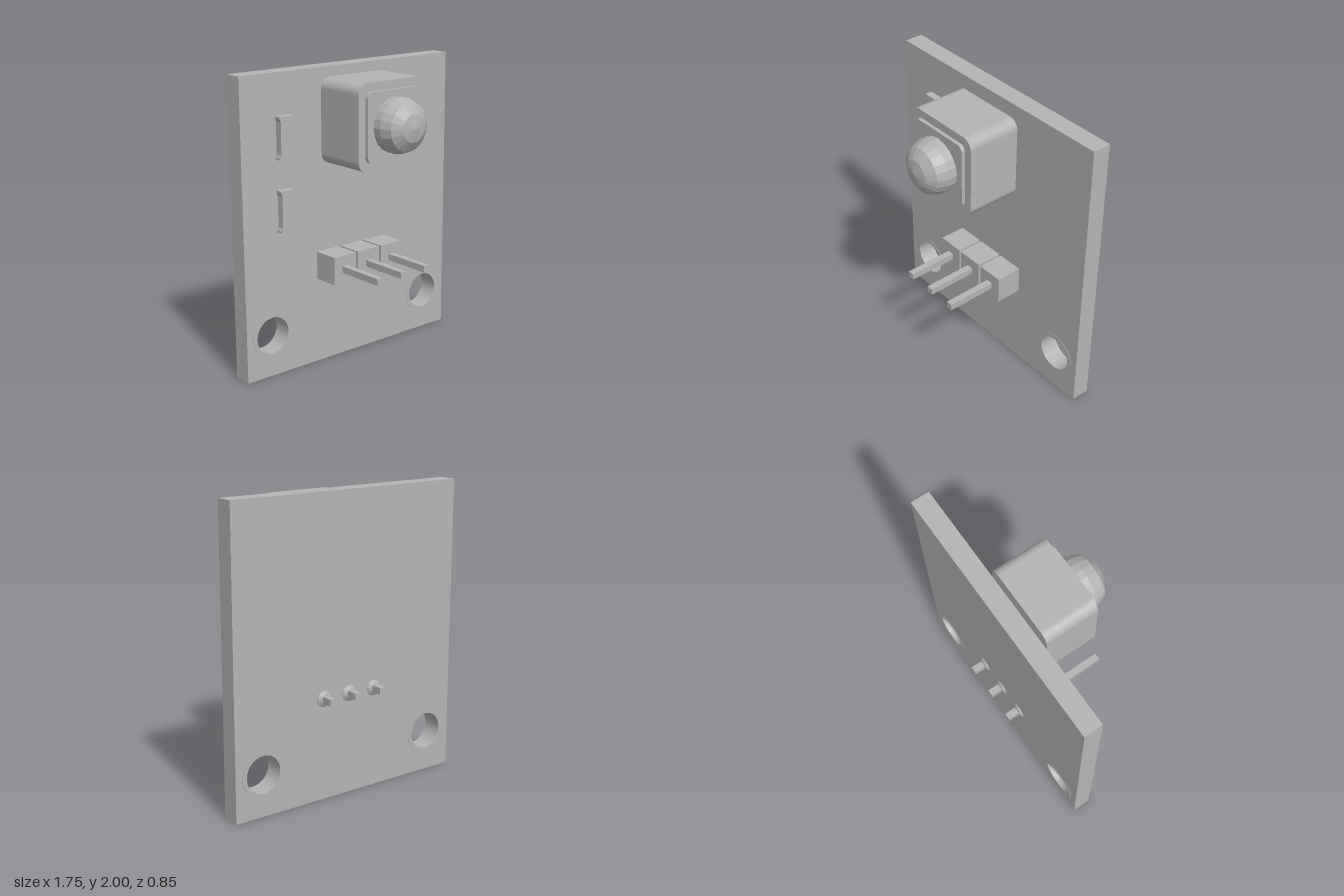
import * as THREE from 'three';

const grey = new THREE.MeshStandardMaterial({ color: 0xb4b4b4 });
grey.name = 'plain grey';
const facetGrey = grey;

const FRONT = -0.203, BACK = -0.33; // board faces
const HOLES = [-0.672, 0.672], HOLE_Y = 0.282;

function add(parent, name, geometry, x = 0, y = 0, z = 0) {
  const mesh = new THREE.Mesh(geometry, grey);
  mesh.name = name;
  mesh.position.set(x, y, z);
  parent.add(mesh);
  return mesh;
}

function box(parent, name, w, h, z0, z1, x, y) {
  return add(parent, name, new THREE.BoxGeometry(w, h, z1 - z0), x, y, (z0 + z1) / 2);
}

const extrude = (shape, depth, curveSegments = 8) =>
  new THREE.ExtrudeGeometry(shape, { depth, bevelEnabled: false, curveSegments });

function circleHole(x, y, r) {
  const path = new THREE.Path();
  path.absarc(x, y, r, 0, Math.PI * 2, true);
  return path;
}

function roundedSquare(half, r) {
  const s = new THREE.Shape(), c = half - r;
  s.absarc(c, c, r, 0, Math.PI / 2);
  s.absarc(-c, c, r, Math.PI / 2, Math.PI);
  s.absarc(-c, -c, r, Math.PI, Math.PI * 1.5);
  s.absarc(c, -c, r, Math.PI * 1.5, Math.PI * 2);
  return s;
}

// Faceted solid of revolution with its axis along z; profile runs [radius, z]
function turned(profile, segments) {
  const points = profile.map(([r, z]) => new THREE.Vector2(r, z));
  const g = new THREE.LatheGeometry(points, segments).rotateX(Math.PI / 2).toNonIndexed();
  g.computeVertexNormals();
  return g;
}

export function createModel() {
  const model = new THREE.Group();
  model.name = 'sensorBoard';

  // Circuit board with two mounting holes
  const outline = new THREE.Shape([
    new THREE.Vector2(-0.877, 0), new THREE.Vector2(0.877, 0),
    new THREE.Vector2(0.877, 2), new THREE.Vector2(-0.877, 2),
  ]);
  for (const x of HOLES) outline.holes.push(circleHole(x, HOLE_Y, 0.125));
  add(model, 'board', extrude(outline, FRONT - BACK, 24), 0, 0, BACK);

  // Thin pads around the mounting holes, on both faces
  for (const x of HOLES) {
    const ring = new THREE.Shape();
    ring.absarc(0, 0, 0.155, 0, Math.PI * 2);
    ring.holes.push(circleHole(0, 0, 0.125));
    const pad = extrude(ring, 0.003, 24);
    add(model, 'frontHolePad', pad, x, HOLE_Y, FRONT);
    add(model, 'backHolePad', pad, x, HOLE_Y, BACK - 0.003);
  }

  // Sensor housing, raised face and domed lens
  const sensor = new THREE.Group();
  sensor.name = 'sensor';
  sensor.position.y = 1.66;
  model.add(sensor);
  add(sensor, 'housing', extrude(roundedSquare(0.28, 0.07), 0.367), 0, 0, -0.16);
  add(sensor, 'raisedFace', extrude(roundedSquare(0.225, 0.04), 0.025), 0, 0, 0.207);
  add(sensor, 'lens', turned(
    [[0.18, 0.22], [0.18, 0.29], [0.155, 0.363], [0.09, 0.407], [0, 0.424]], 20));

  // Short leads lifting the housing off the board
  for (const x of [-0.2, 0, 0.2]) {
    const lead = new THREE.CylinderGeometry(0.022, 0.022, 0.05, 12).rotateX(Math.PI / 2);
    add(sensor, 'sensorLead', lead, x, -0.22, -0.181);
  }

  // Chip components with flared ends
  const chip = new THREE.Shape([
    [-0.046, -0.105], [-0.055, -0.125], [-0.055, -0.138],
    [0.055, -0.138], [0.055, -0.125], [0.046, -0.105],
    [0.046, 0.105], [0.055, 0.125], [0.055, 0.138],
    [-0.055, 0.138], [-0.055, 0.125], [-0.046, 0.105],
  ].map(([x, y]) => new THREE.Vector2(x, y)));
  for (const y of [1.59, 1.114]) {
    add(model, 'chipComponent', extrude(chip, 0.05), -0.56, y, FRONT);
  }

  // Three-pin header with solder joints on the back
  for (const x of [-0.203, 0, 0.203]) {
    box(model, 'headerBlock', 0.185, 0.19, FRONT, -0.022, x, 0.683);
    box(model, 'headerPin', 0.045, 0.045, -0.427, 0.325, x, 0.683);
    add(model, 'solderJoint', turned(
      [[0, -0.35], [0.03, -0.35], [0.054, -0.336], [0.054, BACK]], 14), x, 0.683, 0);
  }

  return model;
}
